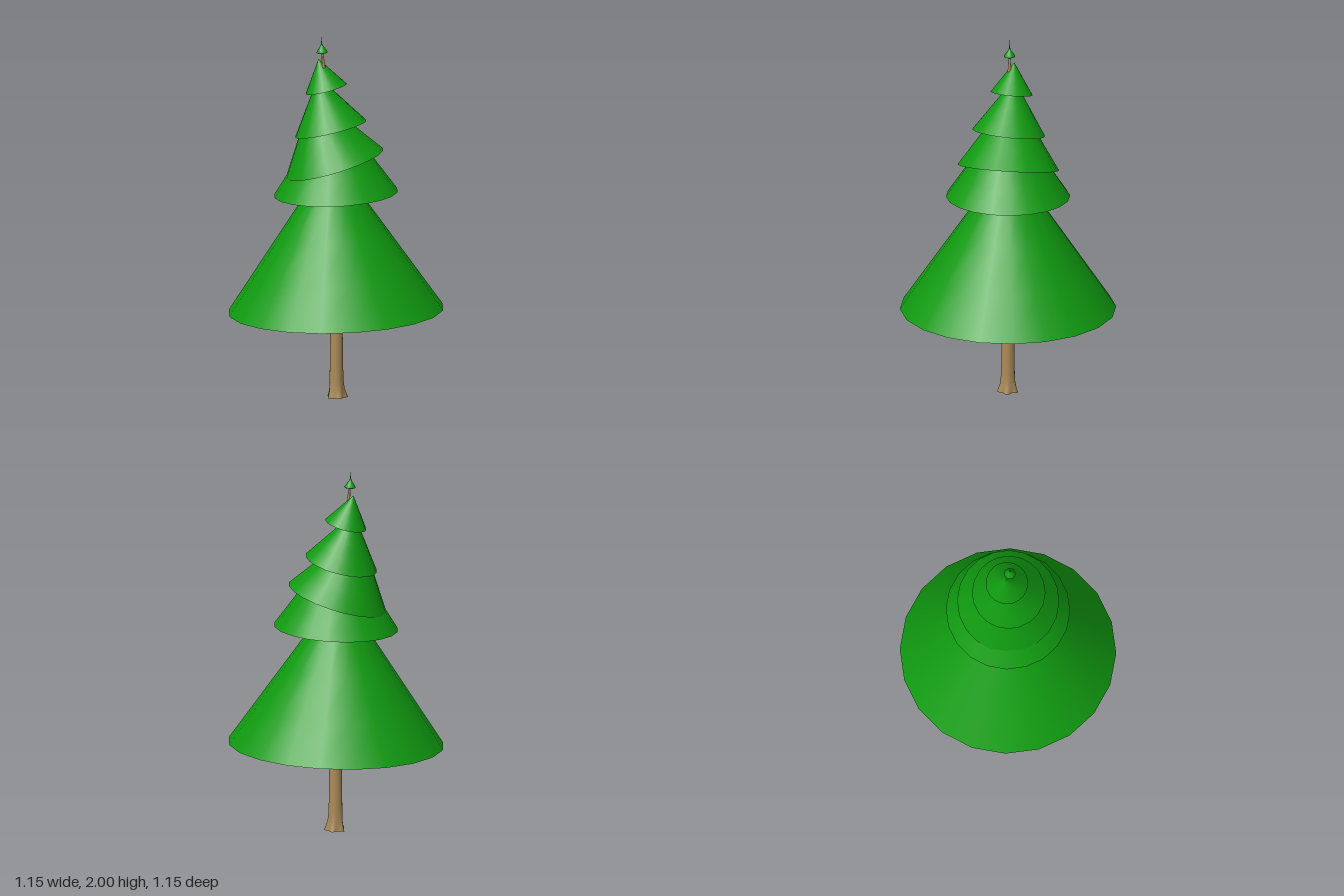
import * as THREE from 'three';

const green = new THREE.MeshStandardMaterial({ color: 0x109a10 });
const bark = new THREE.MeshStandardMaterial({ color: 0xa98a58 });

// Leaning trunk: unit cylinder reshaped by rings of [height, radius, sideways drift, root depth]
function makeTrunk() {
  const rings = [
    [0, 0.05, 0.002, 0.01], [0.02, 0.046, 0.002, 0.007], [0.05, 0.04, 0.001, 0.003],
    [0.1, 0.037, 0, 0.001], [0.25, 0.035, 0, 0], [0.5, 0.033, 0, 0],
    [1.2, 0.022, -0.02, 0], [1.75, 0.011, -0.064, 0], [1.83, 0.009, -0.069, 0], [1.91, 0.004, -0.077, 0],
  ];
  const n = rings.length - 1;
  const geo = new THREE.CylinderGeometry(1, 1, 1, 20, n);
  const pos = geo.attributes.position;
  for (let i = 0; i < pos.count; i++) {
    const [y, r, drift, root] = rings[Math.round((pos.getY(i) + 0.5) * n)];
    const x = pos.getX(i), z = pos.getZ(i);
    const radius = r + root * Math.cos(5 * Math.atan2(z, x));
    pos.setXYZ(i, x * radius + drift, y, z * radius);
  }
  geo.computeVertexNormals();
  const trunk = new THREE.Mesh(geo, bark);
  trunk.name = 'trunk';
  return trunk;
}

// Cone of foliage standing on a tilted base disc
function makeTier(name, center, radius, slopeX, slopeZ) {
  const height = radius * 1.48;
  const geo = new THREE.CylinderGeometry(0, radius, height, 20, 4, false, Math.PI / 20);
  geo.translate(0, height / 2, 0);
  const tier = new THREE.Mesh(geo, green);
  const axis = new THREE.Vector3(-slopeX, 1, -slopeZ).normalize();
  tier.quaternion.setFromUnitVectors(new THREE.Vector3(0, 1, 0), axis);
  tier.position.set(...center);
  tier.name = name;
  return tier;
}

// Small bud ending in a thin spike
function makeTip() {
  const profile = [[0, 0], [0.028, 0], [0.031, 0.003], [0.022, 0.018], [0.008, 0.038], [0.003, 0.05], [0, 0.1]];
  const geo = new THREE.LatheGeometry(profile.map(([x, y]) => new THREE.Vector2(x, y)), 16);
  const tip = new THREE.Mesh(geo, green);
  tip.position.set(-0.077, 1.9, 0);
  tip.rotation.z = 0.06;
  tip.name = 'topBud';
  return tip;
}

export function createModel() {
  const tree = new THREE.Group();
  tree.name = 'tree';
  tree.add(
    makeTrunk(),
    makeTier('lowestTier', [-0.002, 0.48, 0], 0.583, 0.026, 0),
    makeTier('secondTier', [-0.002, 1.125, 0], 0.335, 0.045, 0),
    makeTier('thirdTier', [-0.01, 1.287, 0], 0.275, 0.298, 0.03),
    makeTier('fourthTier', [-0.03, 1.48, 0], 0.198, 0.237, 0.08),
    makeTier('topTier', [-0.055, 1.698, -0.013], 0.114, 0.25, 0.066),
    makeTip(),
  );
  return tree;
}
